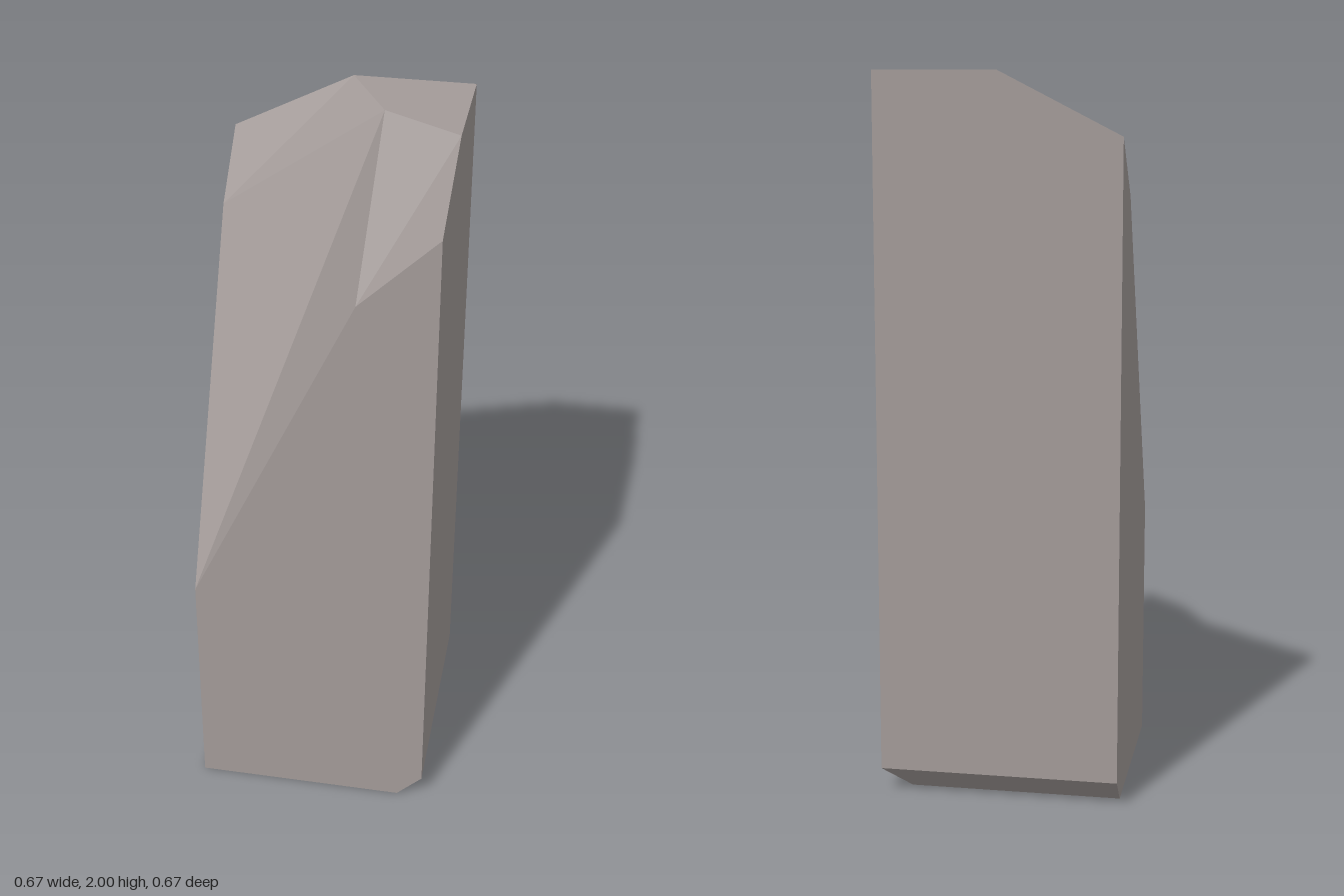
import * as THREE from 'three';

const w = 0.333; // half width of the square column
const bevel = 0.073; // size of the two bottom bevels
const b = w - bevel;

// Corner points
const points = {
  // flat top
  A: [0.118, 2, -0.12], P: [0, 2, -w], T: [w, 2, -w], R: [w, 2, 0],
  // rim of the broken crown
  S: [w, 1.875, w], B: [0.121, 1.67, w], C: [-w, 0.7, w], D: [-w, 1.67, -0.162], Q: [-w, 1.83, -w],
  // foot
  E: [-w, 0, w], F: [b, 0, w], G: [w, bevel, w], H: [w, bevel, -w],
  I: [b, 0, -b], J: [-w, bevel, -w], K: [-w, 0, -b],
};

// Faces as corner letters, counter-clockwise from outside
const parts = {
  columnSides: ['EFGSBC', 'GHTRS', 'HJQPT', 'KECDQJ'],
  flatTop: ['PART'],
  brokenSlope: ['ADC', 'ACB'],
  crownChamfers: ['PQD', 'PDA', 'ABR', 'BSR'],
  footBevels: ['FIHG', 'IKJH'],
  underside: ['EKIF'],
};

// Splits each convex face into a fan of flat triangles
function facetGeometry(faces) {
  const position = [];
  for (const face of faces) {
    for (let i = 1; i < face.length - 1; i++) {
      position.push(...points[face[0]], ...points[face[i]], ...points[face[i + 1]]);
    }
  }
  const geometry = new THREE.BufferGeometry();
  geometry.setAttribute('position', new THREE.Float32BufferAttribute(position, 3));
  geometry.computeVertexNormals();
  return geometry;
}

export function createModel() {
  const stone = new THREE.MeshStandardMaterial({ color: 0xa39b99 });
  stone.name = 'stone';
  const group = new THREE.Group();
  group.name = 'stonePillar';
  for (const [name, faces] of Object.entries(parts)) {
    const mesh = new THREE.Mesh(facetGeometry(faces), stone);
    mesh.name = name;
    group.add(mesh);
  }
  return group;
}
